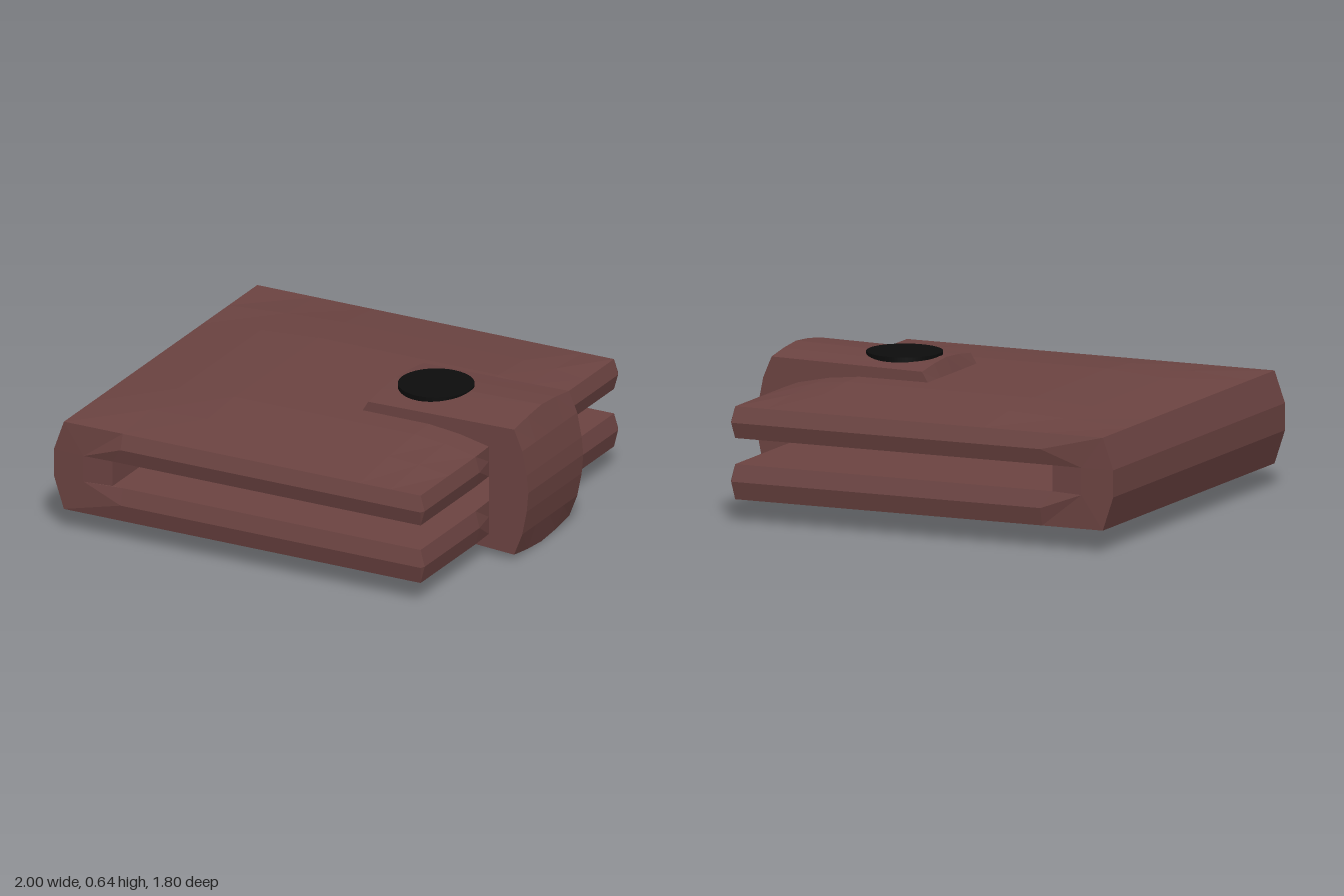
import * as THREE from 'three';

const leather = new THREE.MeshStandardMaterial({ color: 0x6b4341, flatShading: true });
const black = new THREE.MeshStandardMaterial({ color: 0x0c0c0c });

// Skins closed counter-clockwise rings of [x, y, z], ordered from back to front.
function loft(rings, capped) {
  const pos = [];
  const tri = (a, b, c) => {
    const [p, q, r] = [a, b, c].map((v) => new THREE.Vector3(...v));
    if (q.clone().sub(p).cross(r.clone().sub(p)).length() > 1e-7) pos.push(...a, ...b, ...c);
  };
  for (let s = 0; s < rings.length - 1; s++) {
    const A = rings[s], B = rings[s + 1];
    A.forEach((a, i) => {
      const j = (i + 1) % A.length;
      tri(a, A[j], B[j]);
      tri(a, B[j], B[i]);
    });
  }
  if (capped) {
    const back = rings[0], front = rings[rings.length - 1];
    const flat = front.map(([x, y]) => new THREE.Vector2(x, y));
    for (const [a, b, c] of THREE.ShapeUtils.triangulateShape(flat, [])) {
      tri(front[a], front[b], front[c]);
      tri(back[a], back[c], back[b]);
    }
  }
  const geo = new THREE.BufferGeometry();
  geo.setAttribute('position', new THREE.Float32BufferAttribute(pos, 3));
  geo.computeVertexNormals();
  return geo;
}

function mesh(name, geo, mat) {
  const m = new THREE.Mesh(geo, mat);
  m.name = name;
  return m;
}

// Folded body: x, y, amount of top bulge, then the edge ridge point it meets (x, y).
const BODY = [
  [-0.95, 0.10, 0, -0.85, 0.25], [-0.66, 0.10, 0, -0.66, 0.18],
  [0.81, 0.10, 0, 0.82, 0.18], [0.83, 0.18, 0, 0.82, 0.18], [0.81, 0.255, 0, 0.82, 0.18],
  [-0.66, 0.255, 0, -0.66, 0.18], [-0.71, 0.255, 0, -0.85, 0.25],
  [-0.71, 0.37, 0, -0.85, 0.37], [-0.66, 0.37, 0, -0.66, 0.44],
  [0.81, 0.37, 0, 0.82, 0.44], [0.83, 0.44, 0, 0.82, 0.44], [0.81, 0.51, 0, 0.82, 0.44],
  [0.66, 0.51, 0.65, 0.66, 0.44], [0.51, 0.51, 1, 0.51, 0.44],
  [-0.38, 0.51, 1, -0.38, 0.44], [-0.66, 0.51, 0.62, -0.66, 0.44],
  [-0.95, 0.51, 0, -0.85, 0.37], [-1, 0.37, 0, -0.85, 0.37], [-1, 0.25, 0, -0.85, 0.25],
];

function bodyGeometry() {
  // z of each section and how much of the bulge it carries
  const sections = [[-0.88, 0], [-0.62, 0.65], [-0.38, 1], [-0.25, 1],
    [0.25, 1], [0.38, 1], [0.62, 0.65], [0.88, 0]];
  const rings = sections.map(([z, k]) => BODY.map(([x, y, bulge]) => [
    x > 0.8 && Math.abs(z) < 0.3 ? 0.805 : x, // open edge is notched for the strap
    y + 0.048 * bulge * k, z]));
  // side faces close on a ridge running round the fold
  const ridge = (s) => BODY.map(([, , , x, y]) => [x, y, s * (x < -0.7 ? 0.885 : 0.9)]);
  return loft([ridge(-1), ...rings, ridge(1)], false);
}

// Strap wrapping the open edge: x, y, and how far the point drops toward the strap sides.
const STRAP = [
  [-0.07, 0.08, -0.012], [0.93, 0, -0.027], [0.97, 0.13, 0], [0.992, 0.24, 0], [1, 0.33, 0],
  [0.992, 0.41, 0], [0.97, 0.52, 0], [0.93, 0.642, 0.028], [0.21, 0.627, 0.024],
  [0.175, 0.545, 0], [0.175, 0.5, 0], [0.805, 0.5, 0], [0.805, 0.11, 0], [-0.07, 0.11, 0],
];

function strapGeometry() {
  const zs = [-0.25, -0.125, 0, 0.125, 0.25];
  return loft(zs.map((z) => STRAP.map(([x, y, d]) => [x, y - d * (Math.abs(z) / 0.25) ** 1.5, z])), true);
}

export function createModel() {
  const group = new THREE.Group();
  group.name = 'wallet';
  group.add(mesh('foldedBody', bodyGeometry(), leather));
  group.add(mesh('closureStrap', strapGeometry(), leather));

  // Snap button on the strap
  const snap = mesh('snapButton', new THREE.CylinderGeometry(0.167, 0.167, 0.03, 40), black);
  snap.position.set(0.41, 0.624, 0);
  group.add(snap);
  return group;
}
